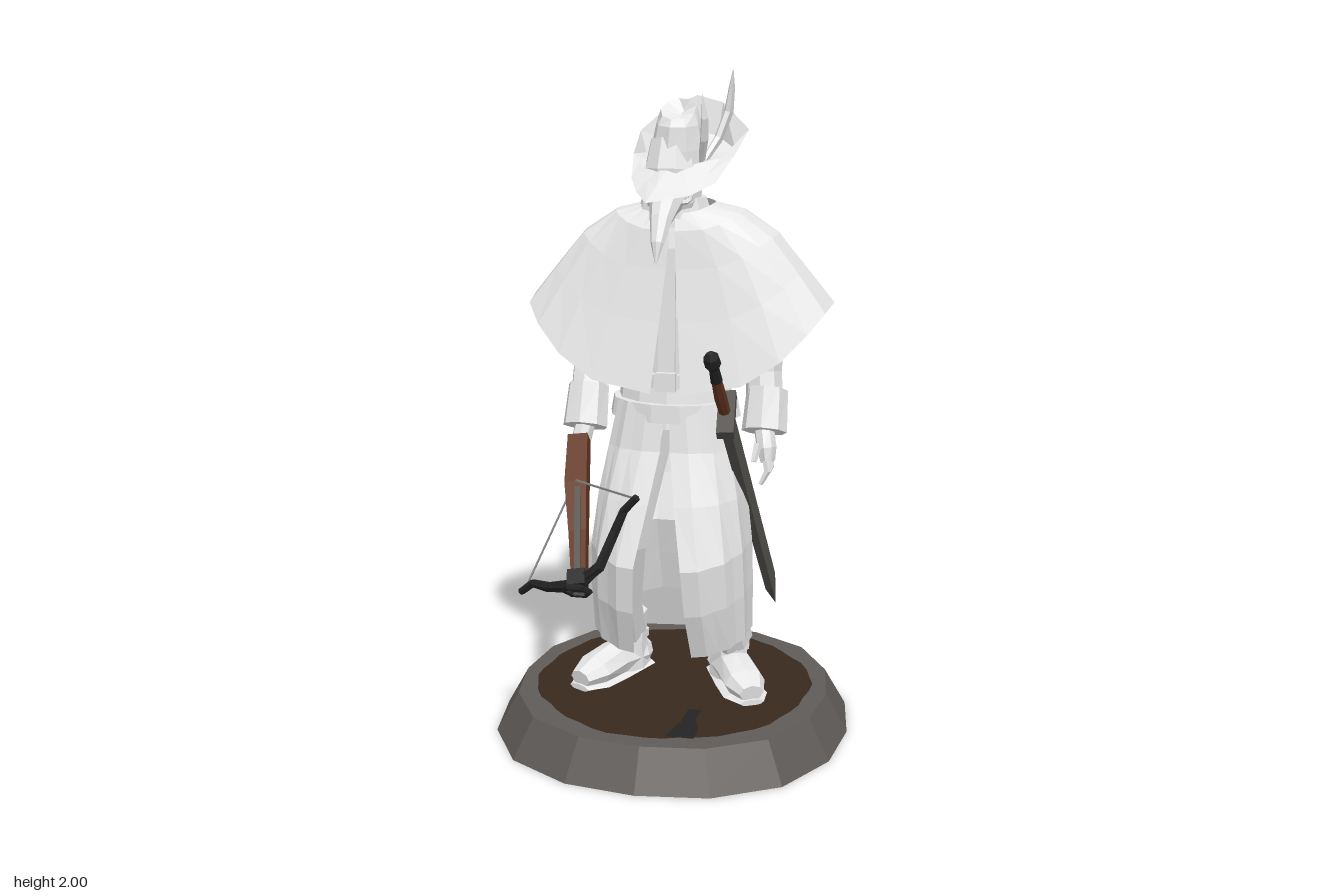
import * as THREE from 'three';

const V = (x, y, z) => new THREE.Vector3(x, y, z);
const mat = (name, color, side = THREE.FrontSide) => {
  const m = new THREE.MeshStandardMaterial({ color, side });
  m.name = name;
  return m;
};

export function createModel() {
  const root = new THREE.Group();
  const cloth = mat('pale cloth', 0xe9e9e9, THREE.DoubleSide);
  const stone = mat('base stone', 0x5f5b58);
  const soil = mat('soil', 0x39291e);
  const wood = mat('wood', 0x63351f);
  const iron = mat('black iron', 0x242424);
  const steel = mat('dark steel', 0x55524f);
  const cord = mat('cord', 0x8a8a88);

  // Every part is faceted
  const add = (name, geo, m, parent = root) => {
    const g = geo.index ? geo.toNonIndexed() : geo;
    g.computeVertexNormals();
    const mesh = new THREE.Mesh(g, m);
    mesh.name = name;
    parent.add(mesh);
    return mesh;
  };

  // Skin over rows of points
  const skin = (rows, closed, capped) => {
    const n = rows[0].length, pos = [], idx = [];
    rows.forEach(r => r.forEach(p => pos.push(p.x, p.y, p.z)));
    for (let i = 0; i < rows.length - 1; i++)
      for (let j = 0; j < (closed ? n : n - 1); j++) {
        const k = (j + 1) % n, a = i * n + j, b = i * n + k;
        idx.push(a, b, b + n, a, b + n, a + n);
      }
    if (capped) [0, rows.length - 1].forEach(i => {
      const c = rows[i].reduce((s, p) => s.add(p), V(0, 0, 0)).divideScalar(n);
      pos.push(c.x, c.y, c.z);
      const ci = pos.length / 3 - 1;
      for (let j = 0; j < n; j++) {
        const a = i * n + j, b = i * n + (j + 1) % n;
        idx.push(ci, i ? a : b, i ? b : a);
      }
    });
    const g = new THREE.BufferGeometry();
    g.setAttribute('position', new THREE.Float32BufferAttribute(pos, 3));
    g.setIndex(idx);
    return g;
  };

  // Tapered sweep; each station is [x, y, z, radiusU, radiusV]
  const sweep = (st, sides = 8, ref = V(0, 0, 1)) => {
    const p = st.map(s => V(s[0], s[1], s[2])), off = sides === 4 ? Math.PI / 4 : 0;
    return skin(p.map((c, i) => {
      const t = p[Math.min(i + 1, p.length - 1)].clone().sub(p[Math.max(i - 1, 0)]).normalize();
      const u = ref.clone().cross(t).normalize(), v = t.clone().cross(u);
      const ru = st[i][3], rv = st[i][4] ?? ru;
      return Array.from({ length: sides }, (_, j) => {
        const a = off + j / sides * Math.PI * 2;
        return c.clone().addScaledVector(u, ru * Math.cos(a)).addScaledVector(v, rv * Math.sin(a));
      });
    }), true, true);
  };
  const X = V(1, 0, 0), Y = V(0, 1, 0), R = Math.SQRT1_2;
  const beam = (a, b, w, h) => sweep([[...a, w * R, h * R], [...b, w * R, h * R]], 4, X);

  // Garment shell open at the front; rows: [gap, halfWidth, zFront, zBack, ySide, yFront, yBack]
  const shell = (rows, n, e, cx, cz, pleat) => skin(rows.map(([gap, rx, zf, zb, ys, yf, yb]) => {
    const g = Math.asin(Math.pow(gap / rx, 1 / e));
    return Array.from({ length: n + 1 }, (_, j) => {
      const a = g + (Math.PI * 2 - 2 * g) * j / n, s = Math.sin(a), c = Math.cos(a), ac = Math.abs(c);
      const k = 1 + (j % 2 ? pleat : -pleat);
      return V(cx + Math.sign(s) * rx * k * Math.pow(Math.abs(s), e),
        ys + ((c > 0 ? yf : yb) - ys) * ac ** 2.3,
        cz + Math.pow(ac, e) * k * ((c > 0 ? zf : zb) - cz));
    });
  }), false, false);

  // Base, slightly squared in plan, with a soil top
  const base = new THREE.CylinderGeometry(0.478, 0.545, 0.12, 16);
  const bp = base.attributes.position;
  for (let i = 0; i < bp.count; i++) {
    const k = 1 + 0.024 * (1 - Math.cos(4 * Math.atan2(bp.getZ(i), bp.getX(i))));
    bp.setXYZ(i, bp.getX(i) * k, bp.getY(i), bp.getZ(i) * k);
  }
  add('base', base.translate(0, 0.06, -0.027), stone);
  const ground = new THREE.CircleGeometry(0.425, 48).rotateX(-Math.PI / 2);
  const gp = ground.attributes.position;
  for (let i = 1; i < gp.count; i++) {
    const a = (i - 1) % 48, k = 1 + 0.01 * Math.sin(a * 2.1) + 0.012 * Math.sin(a * 0.785);
    gp.setXYZ(i, gp.getX(i) * k, 0, gp.getZ(i) * k);
  }
  add('soil', ground.translate(0, 0.124, -0.027), soil);
  const patch = new THREE.Shape([[0.06, -0.385], [0.145, -0.385], [0.145, -0.32], [0.125, -0.25], [0.13, -0.19], [0.09, -0.19], [0.085, -0.28]]
    .map(q => new THREE.Vector2(...q)));
  add('darkPatch', new THREE.ShapeGeometry(patch).rotateX(-Math.PI / 2).translate(0, 0.128, 0), iron);

  // Long coat skirt with a kink behind the knees
  add('coatSkirt', shell([
    [0.008, 0.165, 0.09, -0.185, 1.04, 1.04, 1.04],
    [0.015, 0.195, 0.11, -0.19, 0.9, 0.9, 0.9],
    [0.04, 0.22, 0.17, -0.16, 0.76, 0.75, 0.76],
    [0.072, 0.237, 0.235, -0.115, 0.6, 0.57, 0.62],
    [0.08, 0.24, 0.21, -0.15, 0.46, 0.42, 0.5],
    [0.09, 0.238, 0.15, -0.19, 0.31, 0.27, 0.37]], 28, 0.75, 0, -0.02, 0.018), cloth);

  // Legs and boots
  for (const s of [-1, 1]) {
    add('trouserLeg', sweep([[s * 0.08, 0.95, -0.04, 0.08, 0.09], [s * 0.13, 0.6, 0.08, 0.065, 0.08],
      [s * 0.16, 0.4, 0.01, 0.065, 0.07], [s * 0.17, 0.27, -0.07, 0.07, 0.075]]), cloth);
    const boot = new THREE.Group();
    boot.name = 'boot';
    boot.position.set(s * 0.17, 0.12, -0.07);
    boot.rotation.y = s * 0.5;
    root.add(boot);
    add('bootShaft', sweep([[0, 0.02, -0.02, 0.062, 0.075], [0, 0.12, -0.01, 0.06, 0.065], [0, 0.2, 0, 0.07, 0.075]]), cloth, boot);
    add('bootFoot', sweep([[0, 0.05, -0.09, 0.04, 0.04], [0, 0.055, -0.05, 0.06, 0.055], [0, 0.06, 0.05, 0.06, 0.055],
      [0, 0.05, 0.14, 0.065, 0.045], [0, 0.04, 0.205, 0.038, 0.027]], 8, Y), cloth, boot);
    add('bootSole', sweep([[0, 0.012, -0.09, 0.05, 0.01], [0, 0.012, 0.05, 0.065, 0.01], [0, 0.012, 0.15, 0.07, 0.01],
      [0, 0.012, 0.21, 0.038, 0.01]], 8, Y), cloth, boot);
    add('bootStrap', sweep([[0, 0.115, -0.01, 0.067, 0.074], [0, 0.14, -0.01, 0.067, 0.074]]), cloth, boot);
  }

  // Torso, belts and jacket
  add('torso', sweep([[0, 0.96, -0.045, 0.185, 0.14], [0, 1.1, -0.05, 0.165, 0.125], [0, 1.3, -0.05, 0.2, 0.13],
    [0, 1.48, -0.05, 0.2, 0.11], [0, 1.6, -0.04, 0.08, 0.08]], 12), cloth);
  add('belt', sweep([[0, 0.985, -0.045, 0.2, 0.15], [0, 1.04, -0.045, 0.19, 0.148]], 14), cloth);
  add('upperBelt', sweep([[0, 1.09, -0.045, 0.172, 0.137], [0, 1.13, -0.045, 0.172, 0.137]], 14), cloth);
  add('buckle', new THREE.BoxGeometry(0.06, 0.055, 0.02).translate(0, 1.11, 0.095), cloth);
  add('jacketPlacket', beam([0, 1.1, 0.08], [0, 1.5, 0.068], 0.015, 0.05), cloth);

  // Shoulder cape
  add('cape', shell([
    [0.006, 0.1, 0.055, -0.12, 1.62, 1.6, 1.63],
    [0.008, 0.19, 0.078, -0.15, 1.6, 1.55, 1.59],
    [0.015, 0.29, 0.095, -0.2, 1.535, 1.44, 1.46],
    [0.028, 0.374, 0.125, -0.225, 1.435, 1.29, 1.32],
    [0.045, 0.455, 0.17, -0.25, 1.335, 1.09, 1.16]], 20, 0.67, 0.015, -0.06, 0), cloth);
  add('collar', sweep([[0, 1.56, -0.03, 0.12, 0.1], [0, 1.64, -0.03, 0.095, 0.09]], 10), cloth);

  // Arms with cuffs and hands; w is the wrist's x, dz its forward shift
  for (const [s, w, dz] of [[-1, -0.255, 0.05], [1, 0.28, 0]]) {
    add('sleeve', sweep([[s * 0.19, 1.52, -0.06, 0.07, 0.07], [s * 0.255, 1.3, -0.08, 0.07, 0.075],
      [s * 0.265, 1.12, -0.06, 0.055, 0.07], [w, 0.98, dz - 0.01, 0.055, 0.06]]), cloth);
    add('cuff', sweep([[w, 1.07, dz - 0.04, 0.062, 0.072], [w, 0.955, dz + 0.01, 0.068, 0.07]]), cloth);
    add('hand', sweep([[w, 0.96, dz + 0.01, 0.03, 0.035], [w + s * 0.01, 0.91, dz + 0.025, 0.03, 0.045],
      [w + s * 0.015, 0.87, dz + 0.03, 0.022, 0.042]], 8), cloth);
    for (let i = 0; i < 4; i++) {
      const z = dz + 0.062 - i * 0.021;
      add('finger', sweep([[w + s * 0.015, 0.88, z, 0.012], [w + s * 0.02, 0.85, z + 0.005, 0.011],
        [w, 0.81, z + 0.008, 0.007]], 5), cloth);
    }
    add('thumb', sweep([[w - s * 0.01, 0.93, dz + 0.06, 0.014], [w - s * 0.02, 0.88, dz + 0.08, 0.009]], 5), cloth);
  }

  // Head with beaked mask
  add('head', sweep([[0, 1.57, -0.02, 0.07, 0.07], [0, 1.63, -0.015, 0.083, 0.095], [0, 1.72, -0.015, 0.085, 0.1],
    [0, 1.8, -0.03, 0.07, 0.08]], 10), cloth);
  add('beak', sweep([[0, 1.65, 0.05, 0.06, 0.055], [0, 1.63, 0.1, 0.047, 0.045], [0, 1.59, 0.155, 0.032, 0.032],
    [0, 1.53, 0.2, 0.019, 0.019], [0, 1.475, 0.22, 0.002, 0.002]], 8, X), cloth);
  for (const s of [-1, 1])
    add('goggle', new THREE.TorusGeometry(0.022, 0.008, 5, 10).rotateY(s * 0.6).translate(s * 0.05, 1.655, 0.075), cloth);

  // Hat with a drooping pointed brim, turned up at the back
  const rim = [[-0.02, 1.65, 0.262], [0.08, 1.66, 0.15], [0.14, 1.69, 0.075], [0.18, 1.76, 0], [0.208, 1.83, -0.09],
    [0.11, 1.9, -0.205], [0.03, 1.92, -0.215], [-0.065, 1.88, -0.205], [-0.125, 1.82, -0.135],
    [-0.122, 1.76, -0.03], [-0.105, 1.7, 0.07], [-0.07, 1.67, 0.16]].map(q => V(...q));
  const inner = rim.map(p => {
    const d = V(p.x - 0.012, 0, p.z + 0.03).normalize().multiplyScalar(0.085);
    return V(0.012 + d.x, 1.75 - 0.2 * d.z, d.z - 0.03);
  });
  const mid = rim.map((p, i) => {
    const back = THREE.MathUtils.clamp(-p.z / 0.2, 0, 1);
    const m = p.clone().lerp(inner[i], 0.45 - 0.25 * back);
    m.y -= 0.07 * back;
    return m;
  });
  add('hatBrim', skin([inner, mid, rim], true, false), cloth);
  add('hatCrown', sweep([[0.012, 1.7, -0.03, 0.088, 0.09], [0.012, 1.78, -0.025, 0.08, 0.085], [0.015, 1.85, -0.018, 0.066, 0.074],
    [0.015, 1.89, -0.012, 0.052, 0.06], [0.015, 1.865, -0.01, 0.025, 0.045]], 9), cloth);
  add('feather', sweep([[0.09, 1.74, 0, 0.01, 0.012], [0.12, 1.8, -0.07, 0.013, 0.024], [0.147, 1.88, -0.095, 0.014, 0.026],
    [0.158, 1.95, -0.08, 0.009, 0.016], [0.165, 2.0, -0.06, 0.001]], 6), cloth);
  add('feather', sweep([[0.085, 1.74, 0, 0.01, 0.012], [0.1, 1.81, 0.035, 0.012, 0.02], [0.105, 1.87, 0.055, 0.01, 0.016],
    [0.1, 1.935, 0.065, 0.001]], 6), cloth);

  // Sword hung at the left hip
  const sword = new THREE.Group();
  sword.name = 'sword';
  root.add(sword);
  add('blade', sweep([[0.19, 1.03, 0.15, 0.046, 0.021], [0.258, 0.37, -0.308, 0.046, 0.016], [0.265, 0.275, -0.375, 0.001]], 4, X), steel, sword);
  add('crossguard', beam([0.2, 0.99, 0.215], [0.185, 1.085, 0.095], 0.03, 0.05), steel, sword);
  add('swordGrip', sweep([[0.19, 1.03, 0.15, 0.017], [0.182, 1.1, 0.2, 0.019], [0.177, 1.17, 0.25, 0.015]], 7, X), wood, sword);
  add('gripCap', sweep([[0.178, 1.155, 0.24, 0.018], [0.176, 1.2, 0.272, 0.015]], 7, X), iron, sword);
  add('pommel', sweep([[0.176, 1.195, 0.268, 0.014], [0.175, 1.215, 0.284, 0.025], [0.174, 1.235, 0.298, 0.022],
    [0.173, 1.248, 0.308, 0.008]], 8, X), iron, sword);

  // Crossbow held low in the right hand
  const bow = new THREE.Group();
  bow.name = 'crossbow';
  root.add(bow);
  add('stock', sweep([[-0.26, 0.93, 0.11, 0.036, 0.042], [-0.235, 0.82, 0.23, 0.038, 0.046], [-0.2, 0.71, 0.345, 0.034, 0.036],
    [-0.16, 0.605, 0.485, 0.03, 0.028]], 4, X), wood, bow);
  add('boltTrack', beam([-0.225, 0.825, 0.262], [-0.162, 0.625, 0.5], 0.012, 0.016), steel, bow);
  add('bowLimb', sweep([[-0.39, 0.505, 0.3, 0.011], [-0.345, 0.545, 0.33, 0.012], [-0.28, 0.56, 0.39, 0.015], [-0.17, 0.605, 0.48, 0.021],
    [-0.1, 0.67, 0.49, 0.017], [-0.06, 0.77, 0.47, 0.014], [-0.035, 0.83, 0.47, 0.012], [0.005, 0.875, 0.485, 0.011]], 6, Y), iron, bow);
  add('bowMount', beam([-0.172, 0.63, 0.46], [-0.162, 0.6, 0.5], 0.065, 0.05), iron, bow);
  add('stirrup', new THREE.TorusGeometry(0.038, 0.008, 5, 6).rotateX(0.9).translate(-0.158, 0.605, 0.52), iron, bow);
  for (const tip of [[-0.38, 0.51, 0.3], [0, 0.87, 0.48]])
    add('bowString', beam([-0.235, 0.84, 0.245], tip, 0.005, 0.005), cord, bow);

  return root;
}
